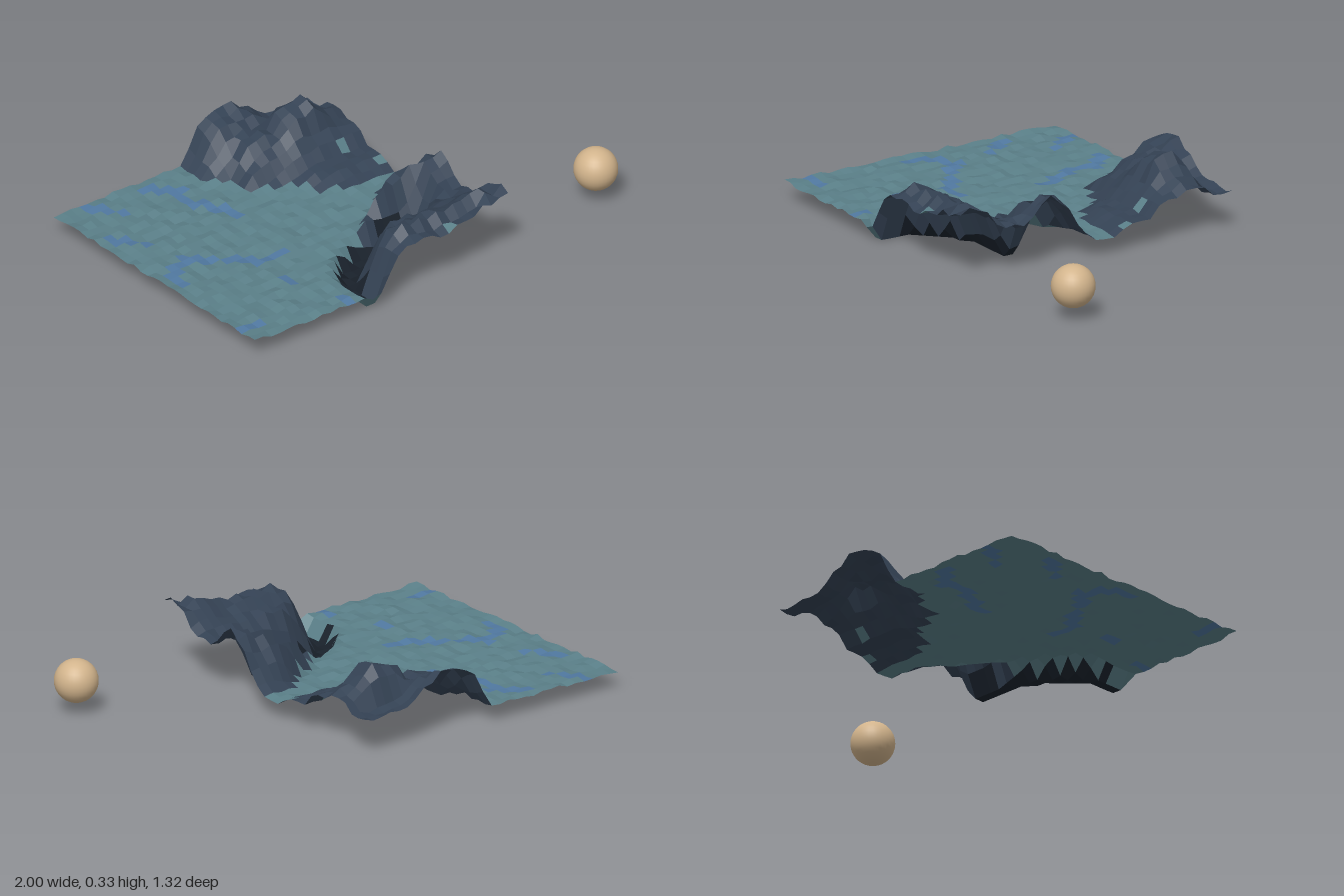
import * as THREE from 'three';

const N = 30, X0 = -1, Z0 = -0.66, SIZE = 1.32, CELL = SIZE / N;
const { smoothstep, mapLinear, clamp } = THREE.MathUtils;
const v2 = (pts) => pts.map(([x, z]) => new THREE.Vector2(x, z));

// Outlines of the two hills (they run on past the edge of the sheet)
const backHill = v2([[0.5, -0.09], [0.1, -0.1], [0, -0.14], [-0.1, -0.25], [-0.25, -0.32],
  [-0.26, -0.45], [-0.33, -0.5], [-0.34, -0.8], [0.5, -0.8]]);
const frontHill = v2([[0.5, 0], [0.2, 0], [0.12, 0.05], [0, 0.14], [-0.1, 0.2], [-0.12, 0.27],
  [-0.24, 0.32], [-0.34, 0.42], [-0.36, 0.5], [-0.36, 0.8], [0.5, 0.8]]);

// Sunken gully along the foot of the front hill
const gully = v2([[-0.37, 0.61], [-0.37, 0.5], [-0.28, 0.38], [-0.15, 0.31], [0, 0.29], [0.1, 0.29]]);

// Blue streams on the plain
const streams = [
  [[-0.87, -0.66], [-0.8, -0.58], [-0.77, -0.5]],
  [[-0.95, -0.38], [-0.86, -0.25]],
  [[-0.56, -0.6], [-0.47, -0.53], [-0.5, -0.42], [-0.43, -0.3], [-0.4, -0.2]],
  [[-0.95, 0.1], [-0.9, 0], [-0.8, -0.05], [-0.72, 0.02], [-0.62, 0.09], [-0.56, 0.15], [-0.43, 0.14]],
  [[-0.98, 0.54], [-0.91, 0.56]],
  [[-0.57, 0.33], [-0.57, 0.36]],
  [[-0.49, 0.58], [-0.48, 0.66]],
].map(v2);

// Ridge height by z, as [z, height]
const ridge = [[-0.66, 0.28], [-0.61, 0.275], [-0.57, 0.26], [-0.52, 0.3], [-0.47, 0.32], [-0.41, 0.31],
  [-0.37, 0.24], [-0.27, 0.13], [-0.12, 0.12], [0, 0.09], [0.03, 0.13], [0.08, 0.165], [0.12, 0.22],
  [0.16, 0.27], [0.2, 0.31], [0.25, 0.305], [0.32, 0.21], [0.42, 0.215], [0.5, 0.27], [0.56, 0.32], [0.66, 0.31]];

function ridgeAt(x, z) {
  const k = Math.max(1, ridge.findIndex(([rz]) => z <= rz + 1e-6));
  const [za, ha] = ridge[k - 1], [zb, hb] = ridge[k];
  let h = mapLinear(z, za, zb, ha, hb);
  // back edge drops toward +x
  h -= 0.11 * smoothstep(-z, 0.5, 0.6) * smoothstep(x, -0.08, 0.14);
  // the back summit stands alone, with lower ground on both sides
  const summitBand = smoothstep(-z, 0.32, 0.4) * (1 - smoothstep(-z, 0.5, 0.58));
  h -= 0.085 * summitBand * smoothstep(Math.abs(x - 0.11), 0.04, 0.16);
  // front edge drops toward -x
  if (z > 0.45) h -= (0.05 * smoothstep(z, 0.5, 0.66) + 0.015) * (1 - smoothstep(x, 0.08, 0.26));
  return h;
}

function pathDistance(p, path) {
  let best = Infinity;
  for (let i = 1; i < path.length; i++) {
    const a = path[i - 1], d = path[i].clone().sub(a);
    const t = clamp(p.clone().sub(a).dot(d) / d.lengthSq(), 0, 1);
    best = Math.min(best, p.distanceTo(d.multiplyScalar(t).add(a)));
  }
  return best;
}

function inside(p, poly) {
  let hit = false;
  for (let i = 0, j = poly.length - 1; i < poly.length; j = i++) {
    const a = poly[i], b = poly[j];
    if ((a.y > p.y) !== (b.y > p.y) && p.x < (b.x - a.x) * (p.y - a.y) / (b.y - a.y) + a.x) hit = !hit;
  }
  return hit;
}

// Repeatable value from -1 to 1 for a grid point
function noise(i, j) {
  const s = Math.sin(i * 127.1 + j * 311.7 + 4.2) * 43758.5453;
  return (s - Math.floor(s)) * 2 - 1;
}

function heightAt(i, j) {
  const p = new THREE.Vector2(X0 + i * CELL, Z0 + j * CELL);
  const plain = 0.074 + 0.008 * noise(i, j);
  let h = plain;
  if (inside(p, backHill) || inside(p, frontHill)) {
    const hill = p.y < -0.05 ? backHill : frontHill;
    // short banks beside the inlet, longer slopes further out
    const width = Math.abs(p.y) < 0.25 ? 0.07 : 0.12;
    const rise = Math.min(1, pathDistance(p, hill) / width);
    const rough = 0.1 + 0.25 * (1 - rise);
    h = plain + (ridgeAt(p.x, p.y) - plain) * rise * (1 + rough * noise(i + 50, j)) - 0.01 * rise;
  }
  const g = pathDistance(p, gully);
  return Math.max(0, Math.min(h, (g - 0.03) * 2.4));
}

function kindAt(i, j) {
  const c = new THREE.Vector2(X0 + (i + 0.5) * CELL, Z0 + (j + 0.5) * CELL);
  const g = pathDistance(c, gully);
  if (g < 0.05) return c.y > 0.52 && g > 0.02 ? 'plain' : 'gully';
  if (inside(c, backHill) || inside(c, frontHill)) return noise(i, j + 70) > 0.95 ? 'plain' : 'hills';
  return streams.some((s) => pathDistance(c, s) < 0.027) ? 'streams' : 'plain';
}

export function createModel() {
  const model = new THREE.Group();
  model.name = 'coastalTerrain';

  // Terrain sheet of flat-lit squares, sorted into one mesh per colour
  const heights = [];
  for (let j = 0; j <= N; j++) heights.push(Array.from({ length: N + 1 }, (_, i) => heightAt(i, j)));
  const corner = (i, j) => new THREE.Vector3(X0 + i * CELL, heights[j][i], Z0 + j * CELL);
  const colors = { plain: 0x5a7f88, streams: 0x5078a0, hills: 0x344254, gully: 0x1a222c };
  const sheets = {};
  for (const name in colors) sheets[name] = { points: [], normals: [] };
  for (let j = 0; j < N; j++) {
    for (let i = 0; i < N; i++) {
      const a = corner(i, j), b = corner(i, j + 1), c = corner(i + 1, j + 1), d = corner(i + 1, j);
      const normal = c.clone().sub(a).cross(d.clone().sub(b)).normalize();
      const { points, normals } = sheets[kindAt(i, j)];
      for (const v of [a, b, d, b, c, d]) {
        points.push(...v);
        normals.push(...normal);
      }
    }
  }
  for (const [name, { points, normals }] of Object.entries(sheets)) {
    const geometry = new THREE.BufferGeometry();
    geometry.setAttribute('position', new THREE.Float32BufferAttribute(points, 3));
    geometry.setAttribute('normal', new THREE.Float32BufferAttribute(normals, 3));
    const mesh = new THREE.Mesh(geometry, new THREE.MeshStandardMaterial({
      color: colors[name], side: THREE.DoubleSide,
    }));
    mesh.name = name;
    model.add(mesh);
  }

  // Ball floating beside the terrain
  const ball = new THREE.Mesh(
    new THREE.SphereGeometry(0.092, 32, 16),
    new THREE.MeshStandardMaterial({ color: 0xd2b48c }),
  );
  ball.name = 'ball';
  ball.position.set(0.908, 0.138, 0.495);
  model.add(ball);

  return model;
}
